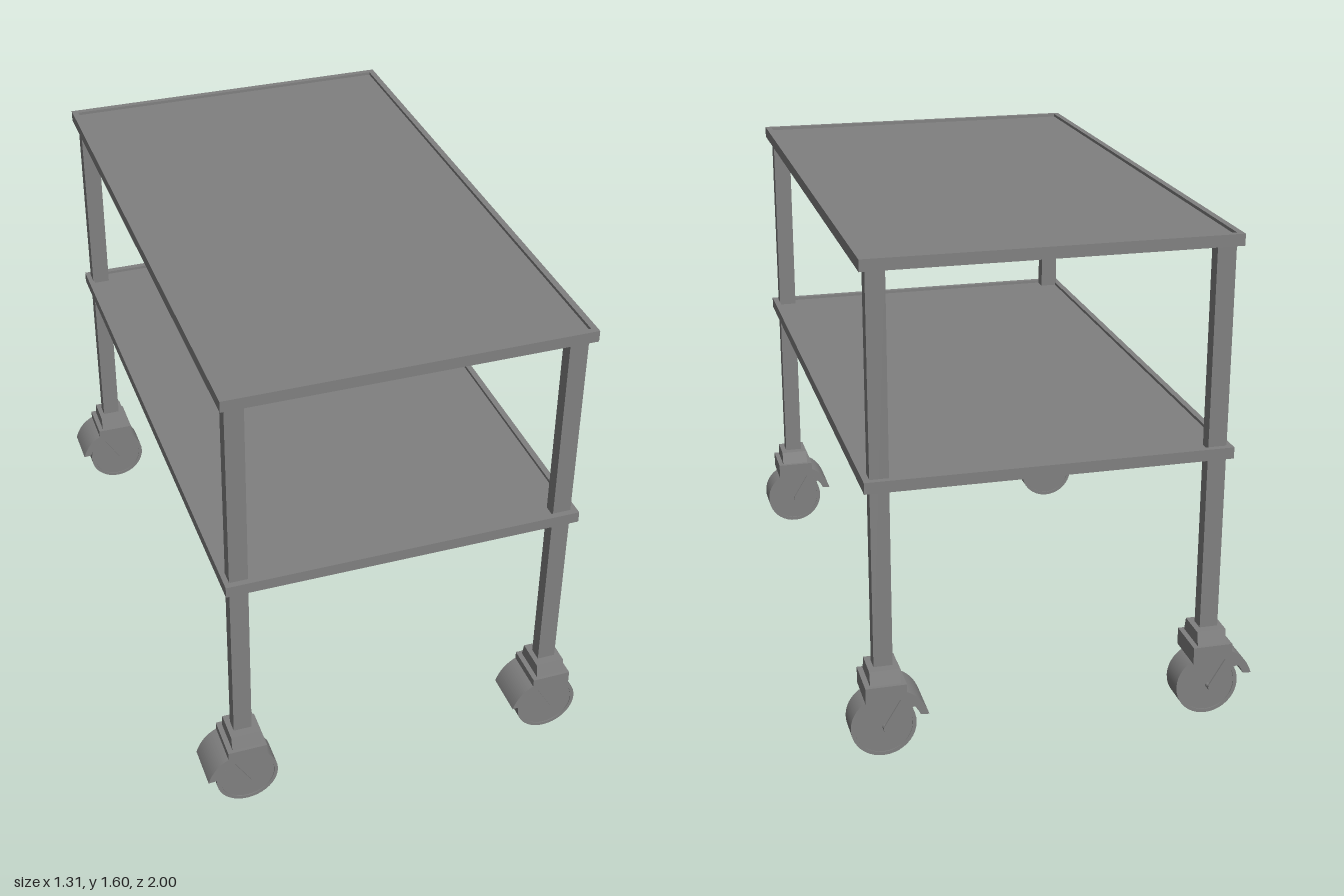
import * as THREE from 'three';

const material = new THREE.MeshStandardMaterial({ color: 0x808080 });
const CX = 0.0125; // cart body sits slightly off the caster envelope

function add(parent, name, geometry, x = 0, y = 0, z = 0) {
  const mesh = new THREE.Mesh(geometry, material);
  mesh.name = name;
  mesh.position.set(x, y, z);
  parent.add(mesh);
  return mesh;
}

function extrude(shape, depth, curveSegments = 16) {
  return new THREE.ExtrudeGeometry(shape, { depth, bevelEnabled: false, curveSegments })
    .translate(0, 0, -depth / 2);
}

// Shelf: raised rim around a slightly sunken plate
function makeShelf(name, y) {
  const w = 1.162, d = 1.942, h = 0.037, rim = 0.02;
  const shelf = new THREE.Group();
  shelf.name = name;
  const rect = (path, a, b) => path.moveTo(-a, -b).lineTo(a, -b).lineTo(a, b).lineTo(-a, b).closePath();
  const outline = new THREE.Shape();
  rect(outline, w / 2, d / 2);
  const hole = new THREE.Path();
  rect(hole, w / 2 - rim, d / 2 - rim);
  outline.holes.push(hole);
  add(shelf, 'shelfRim', extrude(outline, h).rotateX(-Math.PI / 2), 0, h / 2, 0);
  add(shelf, 'shelfPlate', new THREE.BoxGeometry(w - 2 * rim, h - 0.01, d - 2 * rim), 0, (h - 0.01) / 2, 0);
  shelf.position.set(CX + 0.002, y, -0.001);
  return shelf;
}

// Caster: origin on the floor below the leg centre, hood trailing toward -x
function makeCaster() {
  const caster = new THREE.Group();
  caster.name = 'caster';
  const axleX = 0.005, axleY = 0.105, width = 0.147;

  // Socket collar, narrowing in depth toward the leg
  const collar = new THREE.BoxGeometry(0.096, 0.045, 0.124);
  const p = collar.attributes.position;
  for (let i = 0; i < p.count; i++) if (p.getY(i) > 0) p.setZ(i, p.getZ(i) * 0.83);
  collar.computeVertexNormals();
  add(caster, 'collar', collar, 0, 0.2775, 0);

  // Housing with a close wheel arch and a rear hood that flares away from the wheel
  const housing = new THREE.Shape();
  housing.moveTo(-0.065, 0.255);
  housing.lineTo(-0.065, 0.228);
  housing.quadraticCurveTo(-0.115, 0.205, -0.134, 0.143);
  housing.lineTo(-0.107, 0.145);
  housing.quadraticCurveTo(-0.09, 0.185, -0.05, 0.203);
  housing.absarc(axleX, axleY, 0.108, 2.0, 1.0, true);
  housing.lineTo(0.065, 0.203);
  housing.lineTo(0.065, 0.255);
  housing.closePath();
  add(caster, 'housing', extrude(housing, width));

  // Slanted side arms holding the axle
  const arm = new THREE.Shape();
  arm.moveTo(-0.09, 0.176);
  arm.lineTo(-0.048, 0.208);
  arm.lineTo(0.01, 0.112);
  arm.quadraticCurveTo(0.012, 0.094, -0.002, 0.094);
  arm.lineTo(-0.012, 0.102);
  arm.lineTo(-0.042, 0.148);
  arm.quadraticCurveTo(-0.055, 0.168, -0.09, 0.176);
  for (const s of [-1, 1]) add(caster, 'forkArm', extrude(arm, 0.006), 0, 0, s * (width / 2 - 0.003));

  // Wheel: plain tyre around a hub disc that stands slightly recessed
  const hw = 0.0455;
  const profile = [[0, -hw + 0.003], [0.092, -hw + 0.003], [0.092, -hw], [0.104, -hw],
    [0.104, hw], [0.092, hw], [0.092, hw - 0.003], [0, hw - 0.003]];
  // Each profile segment is its own lathe so the edges stay crisp
  const wheel = new THREE.Group();
  wheel.name = 'wheel';
  wheel.position.set(axleX, axleY, -0.001);
  for (let i = 0; i < profile.length - 1; i++) {
    const pts = [profile[i], profile[i + 1]].map(([r, y]) => new THREE.Vector2(r, y));
    add(wheel, 'wheelSurface', new THREE.LatheGeometry(pts, 40).rotateX(Math.PI / 2));
  }
  caster.add(wheel);
  add(caster, 'axle', new THREE.CylinderGeometry(0.008, 0.008, width - 0.004, 16).rotateX(Math.PI / 2), 0.001, 0.1, 0);
  return caster;
}

export function createModel() {
  const cart = new THREE.Group();
  cart.name = 'serviceCart';
  cart.add(makeShelf('topShelf', 1.566), makeShelf('lowerShelf', 0.887));

  // Four legs, each on a caster
  for (const sx of [-1, 1]) {
    for (const sz of [-1, 1]) {
      const x = CX + sx * 0.5325, z = sz * 0.9255;
      add(cart, 'leg', new THREE.BoxGeometry(0.06, 1.28, 0.045), x, 0.935, z);
      const caster = makeCaster();
      caster.position.set(x + 0.001, 0, z);
      cart.add(caster);
    }
  }
  return cart;
}
